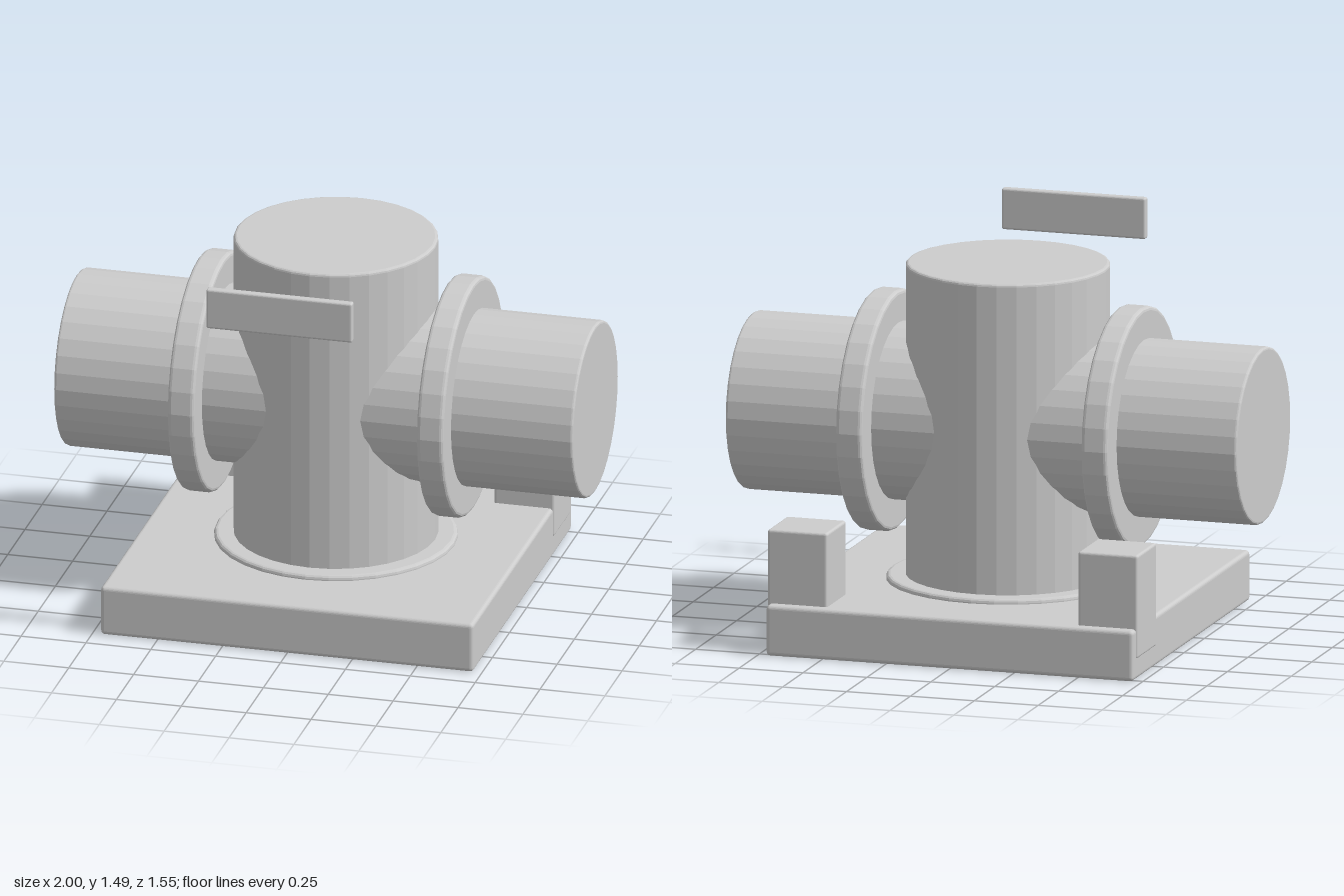
import * as THREE from 'three';
import { RoundedBoxGeometry } from 'three/addons/geometries/RoundedBoxGeometry.js';

const AXIS_Z = -0.057; // shared z of the base, column and pipe
const SIDES = 32;

export function createModel() {
  const model = new THREE.Group();
  model.name = 'pipeFitting';
  const grey = new THREE.MeshStandardMaterial({ color: 0xcccccc, flatShading: true });
  grey.name = 'plain grey';

  const add = (name, geometry, x, y, z) => {
    const mesh = new THREE.Mesh(geometry, grey);
    mesh.name = name;
    mesh.position.set(x, y, z);
    model.add(mesh);
    return mesh;
  };

  // Solid disc or cylinder with small rounded rims, centred on its axis
  const bevelledCylinder = (radius, height, bevel) => {
    const profile = [new THREE.Vector2(0, -height / 2)];
    for (const end of [-1, 1]) {
      for (let i = 0; i <= 3; i++) {
        const a = end * (end < 0 ? 1 - i / 3 : i / 3) * Math.PI / 2;
        profile.push(new THREE.Vector2(
          radius - bevel + Math.cos(a) * bevel,
          end * (height / 2 - bevel) + Math.sin(a) * bevel));
      }
    }
    profile.push(new THREE.Vector2(0, height / 2));
    return new THREE.LatheGeometry(profile, SIDES);
  };

  const box = (w, h, d, bevel) => new RoundedBoxGeometry(w, h, d, 3, bevel);

  // Base plate and upright column with its foot flange
  add('basePlate', box(1.436, 0.193, 1.436, 0.015), 0, 0.0965, AXIS_Z);
  add('footFlange', bevelledCylinder(0.455, 0.11, 0.015), 0, 0.157, AXIS_Z);
  add('column', bevelledCylinder(0.382, 1.3, 0.012), 0, 0.75, AXIS_Z);

  // Cross pipe running through the column
  const pipe = add('crossPipe', bevelledCylinder(0.334, 2, 0.01), 0, 0.804, AXIS_Z);
  pipe.rotation.z = Math.PI / 2;

  for (const [side, s] of [['left', 1], ['right', -1]]) {
    // Pipe collar
    const collar = add(side + 'Collar', bevelledCylinder(0.454, 0.103, 0.015), s * 0.48, 0.804, AXIS_Z);
    collar.rotation.z = Math.PI / 2;
    // Rear corner block
    add(side + 'RearBlock', box(0.234, 0.394, 0.234, 0.01), s * 0.607, 0.277, -0.618);
  }

  // Separate plate in front of the column top
  add('frontPlate', box(0.562, 0.157, 0.034, 0.008), 0, 1.408, 0.758);

  return model;
}
